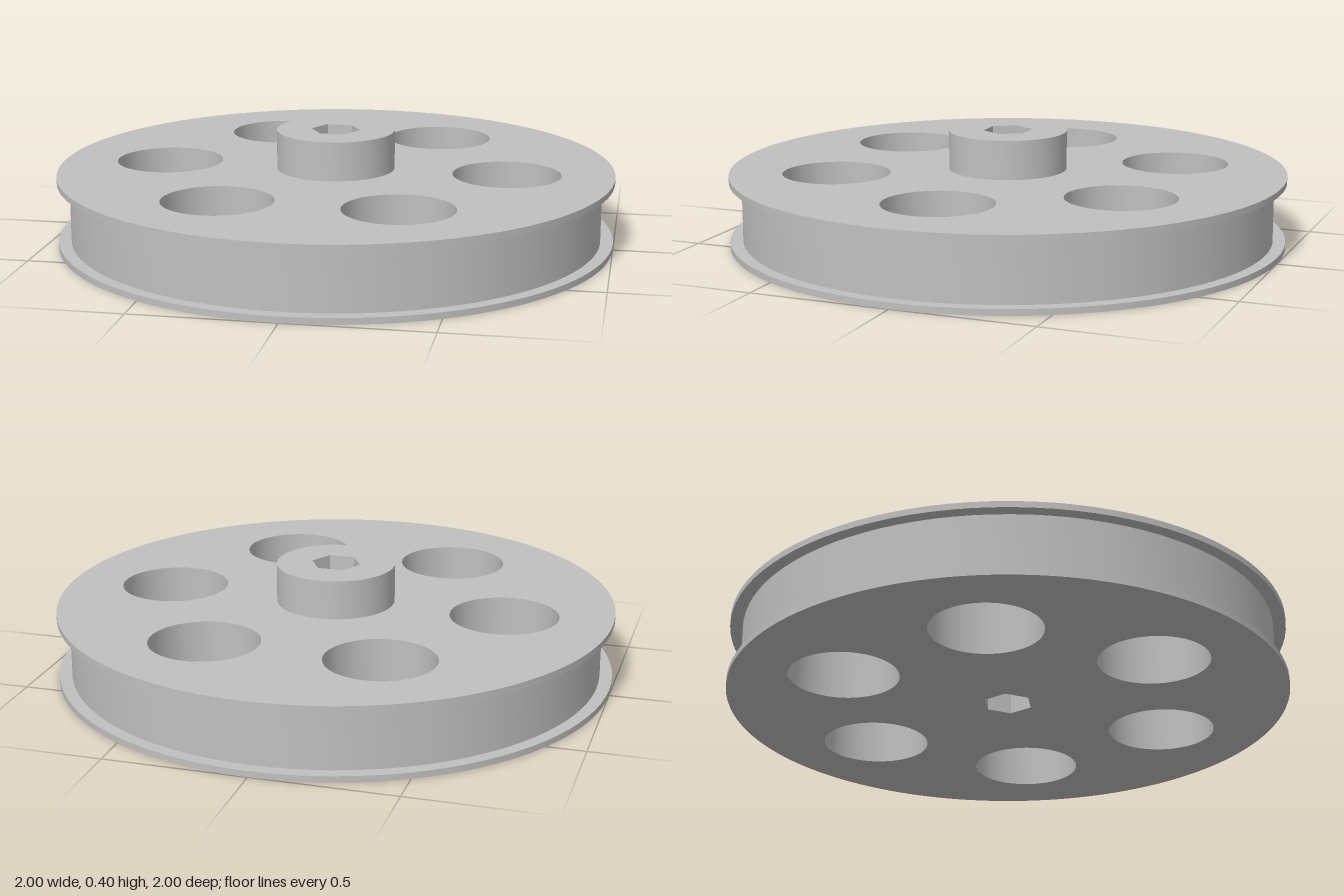
import * as THREE from 'three';
import { toCreasedNormals } from 'three/addons/utils/BufferGeometryUtils.js';

const SEG = 96;
const H = 0.26, HUB_TOP = 0.4, FLANGE = 0.022;
const R = 1, DRUM_R = 0.955, HUB_R = 0.212, HEX_R = 0.089;
const HOLE_R = 0.193, HOLE_DIST = 0.618;

export function createModel() {
  const group = new THREE.Group();
  const metal = new THREE.MeshStandardMaterial({ color: 0xc0c0c0 });
  metal.name = 'light grey';

  const add = (name, geometry, x = 0, y = 0, z = 0) => {
    const mesh = new THREE.Mesh(geometry, metal);
    mesh.name = name;
    mesh.position.set(x, y, z);
    group.add(mesh);
    return mesh;
  };

  // Revolved wall: rising profiles face outward, falling ones face inward
  const revolve = (points, segments = SEG, start = 0) => toCreasedNormals(
    new THREE.LatheGeometry(points.map(([r, y]) => new THREE.Vector2(r, y)), segments, start), 0.5);

  const circle = (r, x = 0, y = 0) => new THREE.Path().absarc(x, y, r, 0, Math.PI * 2, false);
  const hexagon = () => new THREE.Path().setFromPoints(Array.from({ length: 6 }, (_, i) =>
    new THREE.Vector2(HEX_R * Math.cos(i * Math.PI / 3), HEX_R * Math.sin(i * Math.PI / 3))));
  const holeCentres = Array.from({ length: 6 }, (_, i) =>
    [HOLE_DIST * Math.cos(i * Math.PI / 3), HOLE_DIST * Math.sin(i * Math.PI / 3)]);

  // Flat face with holes, lying in the ground plane and looking up or down
  const face = (r, holes, up) => {
    const shape = new THREE.Shape().absarc(0, 0, r, 0, Math.PI * 2, false);
    shape.holes.push(...holes);
    return new THREE.ShapeGeometry(shape, SEG).rotateX(up ? -Math.PI / 2 : Math.PI / 2);
  };
  const roundHoles = () => holeCentres.map(([x, y]) => circle(HOLE_R, x, y));

  // Rim: two thin flanges around a recessed drum
  add('rim', revolve([[R, 0], [R, FLANGE], [DRUM_R, FLANGE],
    [DRUM_R, H - FLANGE], [R, H - FLANGE], [R, H]]));

  // Side faces of the wheel
  add('topFace', face(R, [...roundHoles(), circle(HUB_R)], true), 0, H);
  add('bottomFace', face(R, [...roundHoles(), hexagon()], false));

  // Hub with a hexagonal bore running right through
  add('hub', revolve([[HUB_R, H], [HUB_R, HUB_TOP]]));
  add('hubTop', face(HUB_R, [hexagon()], true), 0, HUB_TOP);
  add('hexBore', revolve([[HEX_R, HUB_TOP], [HEX_R, 0]], 6, Math.PI / 2));

  // Walls of the six lightening holes
  const holeWall = revolve([[HOLE_R, H], [HOLE_R, 0]]);
  holeCentres.forEach(([x, z], i) => add(`lighteningHole${i + 1}`, holeWall, x, 0, z));

  return group;
}
